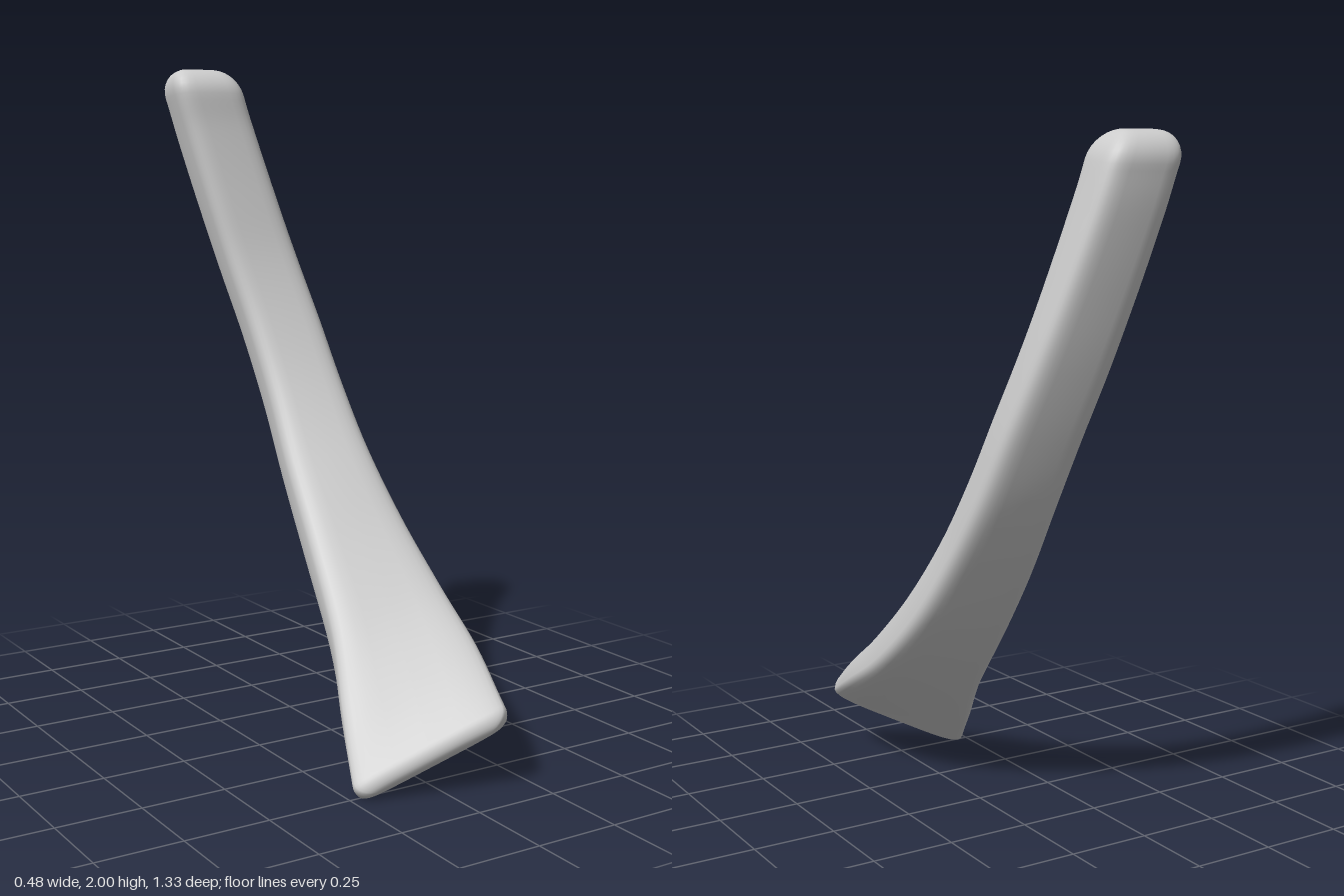
import * as THREE from 'three';

// Stations from the blade tip to the handle end: centre, width vector, thickness
const STATIONS = [
  [[-0.03, 0.128, 0.563], [0.4, 0.2, 0.155], 0.08],
  [[0.017, 0.25, 0.4], [0.405, 0.165, 0.085], 0.122],
  [[0.057, 0.4, 0.213], [0.358, 0.11, 0.04], 0.142],
  [[0.072, 0.595, 0.013], [0.305, 0.06, 0.045], 0.152],
  [[0.073, 0.8, -0.153], [0.26, 0.04, 0.06], 0.157],
  [[0.07, 1.0, -0.282], [0.235, 0.03, 0.055], 0.163],
  [[0.05, 1.2, -0.38], [0.23, 0.02, 0.05], 0.163],
  [[0.012, 1.4, -0.457], [0.23, 0.015, 0.04], 0.163],
  [[-0.034, 1.6, -0.512], [0.228, 0.01, 0.033], 0.17],
  [[-0.082, 1.8, -0.556], [0.226, 0, 0.03], 0.178],
  [[-0.112, 1.918, -0.573], [0.224, 0, 0.03], 0.184],
];
// End caps: length, width inset, thickness inset
const TIP = [0.045, 0.06, 0.036];
const END = [0.085, 0.068, 0.08];
const SIDES = 32, RINGS = 60, CAP = 8, ROUNDNESS = 0.5;

const curveOf = (pts) =>
  new THREE.CatmullRomCurve3(pts.map((p) => new THREE.Vector3(...p)), false, 'catmullrom', 0.5);
const centre = curveOf(STATIONS.map((s) => s[0]));
const width = curveOf(STATIONS.map((s) => s[1]));
const thick = curveOf(STATIONS.map((s) => [s[2], 0, 0]));

const power = (v) => Math.sign(v) * Math.abs(v) ** ROUNDNESS;

function bodyGeometry() {
  const pos = [], idx = [];

  // One rounded-rectangle section, pushed along the axis and inset for the end caps
  const ring = (u, push = 0, insetW = 0, insetT = 0) => {
    const c = centre.getPoint(u), w = width.getPoint(u), along = centre.getTangent(u);
    const n = w.clone().cross(along).normalize();
    const halfW = w.length() / 2 - insetW;
    const halfT = thick.getPoint(u).x / 2 - insetT;
    w.normalize();
    c.addScaledVector(along, push);
    for (let j = 0; j < SIDES; j++) {
      const a = (j / SIDES) * Math.PI * 2;
      const p = c.clone()
        .addScaledVector(w, halfW * power(Math.cos(a)))
        .addScaledVector(n, halfT * power(Math.sin(a)));
      pos.push(p.x, p.y, p.z);
    }
    return c;
  };
  const capRing = (u, dir, [length, insetW, insetT], k) => {
    const a = (k / CAP) * Math.PI / 2, shrink = 1 - Math.cos(a);
    return ring(u, dir * length * Math.sin(a), insetW * shrink, insetT * shrink);
  };

  // Rounded tip, swept body, rounded handle end
  const first = capRing(0, -1, TIP, CAP);
  for (let k = CAP - 1; k > 0; k--) capRing(0, -1, TIP, k);
  for (let i = 0; i <= RINGS; i++) ring(i / RINGS);
  for (let k = 1; k < CAP; k++) capRing(1, 1, END, k);
  const last = capRing(1, 1, END, CAP);

  const count = pos.length / 3 / SIDES;
  for (let i = 0; i < count - 1; i++) {
    for (let j = 0; j < SIDES; j++) {
      const k = (j + 1) % SIDES;
      const a = i * SIDES + j, b = a + SIDES, c = i * SIDES + k, d = c + SIDES;
      idx.push(a, b, c, c, b, d);
    }
  }
  // Close both ends
  const f = count * SIDES, l = f + 1, base = f - SIDES;
  pos.push(first.x, first.y, first.z, last.x, last.y, last.z);
  for (let j = 0; j < SIDES; j++) {
    const k = (j + 1) % SIDES;
    idx.push(f, j, k, l, base + k, base + j);
  }

  const g = new THREE.BufferGeometry();
  g.setAttribute('position', new THREE.Float32BufferAttribute(pos, 3));
  g.setIndex(idx);
  g.computeVertexNormals();
  return g;
}

export function createModel() {
  const grey = new THREE.MeshStandardMaterial({ color: 0xcccccc });
  grey.name = 'light grey';
  const body = new THREE.Mesh(bodyGeometry(), grey);
  body.name = 'curvedHandleAndBlade';
  const group = new THREE.Group();
  group.name = 'curvedTool';
  group.add(body);
  return group;
}
